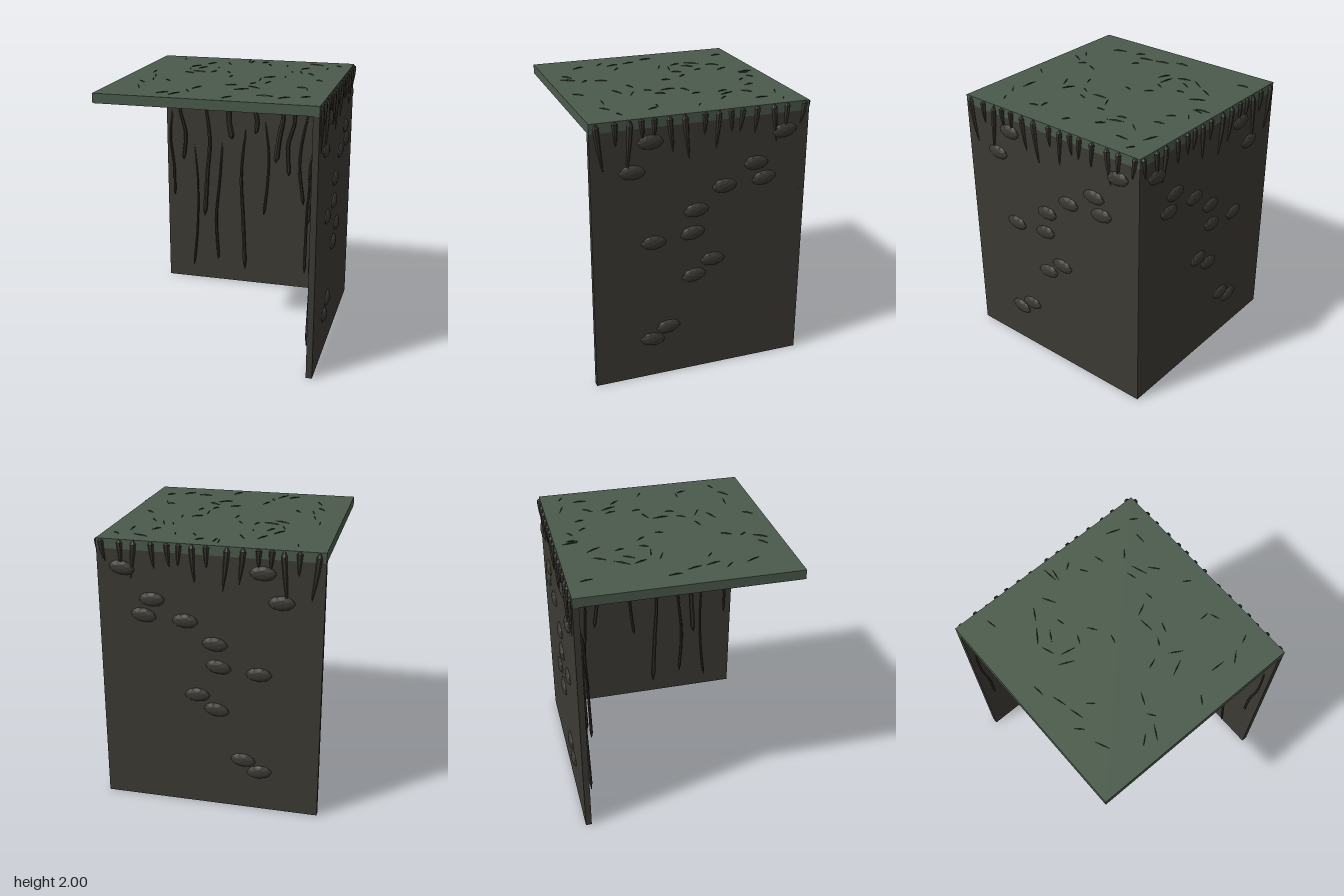
import * as THREE from 'three';

const mat = (name, color) => {
  const m = new THREE.MeshStandardMaterial({ color, flatShading: true });
  m.name = name;
  return m;
};

// Tube whose radius follows a rule r(t) along the path
function taperedTube(points, radius, segments, sides) {
  const path = new THREE.CatmullRomCurve3(points);
  const geo = new THREE.TubeGeometry(path, segments, 1, sides);
  const pos = geo.attributes.position, nor = geo.attributes.normal;
  const n = new THREE.Vector3();
  for (let i = 0; i < pos.count; i++) {
    const t = Math.floor(i / (sides + 1)) / segments;
    n.fromBufferAttribute(nor, i).multiplyScalar(radius(t)).add(path.getPointAt(t));
    pos.setXYZ(i, n.x, n.y, n.z);
  }
  return geo;
}

// Roots on the inner face: thickness, then (u, y) pairs from top to bottom
const ROOTS = [
  [.022, -.755, 1.55, -.77, 1.3, -.74, 1.05, -.735, .78],
  [.032, -.675, 1.69, -.68, 1.55, -.63, 1.35, -.65, 1.11],
  [.040, -.47, 1.65, -.42, 1.3, -.44, 1, -.465, .61],
  [.022, -.565, 1.24, -.53, .9, -.535, .5, -.57, .13],
  [.025, -.31, 1.29, -.33, .95, -.36, .6, -.34, .21],
  [.048, -.21, 1.82, -.235, 1.65, -.245, 1.48, -.215, 1.32],
  [.034, -.11, 1.4, -.14, 1, -.12, .6, -.10, .14],
  [.040, -.03, 1.8, -.05, 1.65, 0, 1.5, -.01, 1.38],
  [.025, .06, 1.48, .10, 1.2, .09, .9, .065, .66],
  [.048, .17, 1.77, .22, 1.55, .19, 1.35, .165, 1.14],
  [.036, .30, 1.69, .32, 1.5, .27, 1.3, .28, 1.03],
  [.030, .43, 1.58, .38, 1.3, .37, 1.1, .41, .78],
  [.025, .52, 1.32, .48, 1, .50, .6, .53, .2],
  [.030, .59, 1.58, .62, 1.35, .60, 1.1, .63, .85],
];

// Stones on the outer face: u, y, tilt
const STONES = [
  [-.39, 1.82, 0], [.6, 1.79, .1], [-.52, 1.62, 0], [.39, 1.575, 0], [.455, 1.455, .1],
  [.155, 1.435, .05], [-.055, 1.28, .1], [-.08, 1.11, .12], [-.37, 1.08, 0], [.075, .88, 0],
  [-.065, .775, .1], [-.26, .39, .1], [-.38, .305, -.1],
];

// Drips over the top edge: u at top, u at tip, y of tip
const DRIPS = [
  [-.765, -.72, 1.65], [-.635, -.63, 1.82], [-.53, -.56, 1.6], [-.45, -.44, 1.84],
  [-.36, -.36, 1.85], [-.255, -.225, 1.73], [-.145, -.11, 1.67], [0, 0, 1.83],
  [.1, .085, 1.72], [.19, .2, 1.83], [.275, .26, 1.82], [.385, .37, 1.8],
  [.51, .54, 1.72], [.61, .6, 1.78], [.745, .72, 1.83],
];

// Blades lying on the slab: x, z, angle in degrees
const BLADES = [
  [-.6, -.65, 80], [-.06, -.67, 85], [-.03, -.65, 100], [.08, -.65, -35], [-.33, -.51, -60],
  [-.19, -.53, 60], [.14, -.55, 55], [.28, -.55, 75], [.5, -.65, 20], [.61, -.49, 90],
  [.68, -.63, 35], [.44, -.46, -50], [-.42, -.37, -55], [-.35, -.31, -60], [-.23, -.35, 75],
  [-.43, -.24, 70], [-.33, -.15, 12], [-.22, -.17, -65], [-.1, -.17, 55], [-.39, -.09, 25],
  [-.66, -.06, 85], [-.04, -.02, -75], [.37, -.3, 75], [.44, -.3, 70], [.53, -.24, 50],
  [.36, -.1, 85], [.25, -.06, -25], [.2, .05, 85], [.28, .14, -70], [.63, -.02, 35],
  [-.6, .09, 75], [-.57, .23, 75], [-.45, .24, 42], [-.62, .33, 45], [-.58, .51, 65],
  [-.17, .44, -65], [-.2, .56, 55], [-.35, .66, -40], [-.26, .67, -60], [.04, .29, -20],
  [.18, .2, -60], [.22, .33, 30], [.15, .42, -25], [.55, .26, 0], [.6, .31, 70],
  [.36, .59, 3], [.5, .62, -40], [.64, .56, -25], [.12, .7, -55],
];

export function createModel() {
  const model = new THREE.Group();
  model.name = 'overgrownCorner';
  const moss = mat('moss green', 0x4a5a4b);
  const wallMat = mat('dark earth', 0x3c3a34);
  const stoneMat = mat('stone', 0x3a3933);
  const rootMat = mat('root brown', 0x34322c);
  const bladeMat = mat('dark blade', 0x232a23);

  const add = (parent, name, geo, material) => {
    const mesh = new THREE.Mesh(geo, material);
    mesh.name = name;
    parent.add(mesh);
    return mesh;
  };

  // Mossy slab
  add(model, 'slab', new THREE.BoxGeometry(1.59, .07, 1.59), moss).position.set(-.015, 1.955, .015);

  // One wall with its stones, roots and drips; s mirrors it along its length
  const stoneGeo = new THREE.IcosahedronGeometry(1, 1);
  const buildSide = (name, s) => {
    const side = new THREE.Group();
    side.name = name;
    add(side, 'wall', new THREE.BoxGeometry(1.59, 1.92, .045), wallMat).position.set(-.015 * s, .96, -.7575);

    STONES.forEach(([u, y, tilt], i) => {
      const stone = add(side, 'stone', stoneGeo, stoneMat);
      stone.position.set(u * s, y, -.78);
      stone.scale.set(.094, .052, .026);
      stone.rotation.z = (tilt + .04 * Math.sin(i * 2)) * s;
    });

    for (const [w, ...p] of ROOTS) {
      const pts = [0, .028, .04, .046].map((d, k) =>
        new THREE.Vector3(p[2 * k] * s, p[2 * k + 1], -.735 + d));
      const rule = t => (t === 0 || t === 1 ? .002 : w * (.22 + .3 * Math.sqrt(t)));
      add(side, 'root', taperedTube(pts, rule, 18, 7), rootMat);
    }

    for (const [u0, u1, y1] of DRIPS) {
      const pts = [
        new THREE.Vector3(u0 * s, 1.988, -.778),
        new THREE.Vector3(u0 * s, 1.975, -.782),
        new THREE.Vector3((u0 * .6 + u1 * .4) * s, (1.975 + y1) / 2, -.784),
        new THREE.Vector3(u1 * s, y1, -.78),
      ];
      const rule = t => (t === 0 ? .004 : .003 + .02 * Math.pow(1 - t, .7));
      add(side, 'drip', taperedTube(pts, rule, 10, 6), rootMat);
    }
    model.add(side);
    return side;
  };
  buildSide('backSide', 1);
  buildSide('leftSide', -1).rotation.y = -Math.PI / 2;

  // Thin pointed blades scattered over the slab
  const bladeGeo = new THREE.OctahedronGeometry(1);
  BLADES.forEach(([x, z, deg], i) => {
    const blade = add(model, 'blade', bladeGeo, bladeMat);
    blade.position.set(x, 1.991, z);
    blade.rotation.y = -deg * Math.PI / 180;
    blade.scale.set(.048 + .014 * Math.sin(i * 1.7), .008, .0035);
  });
  return model;
}
